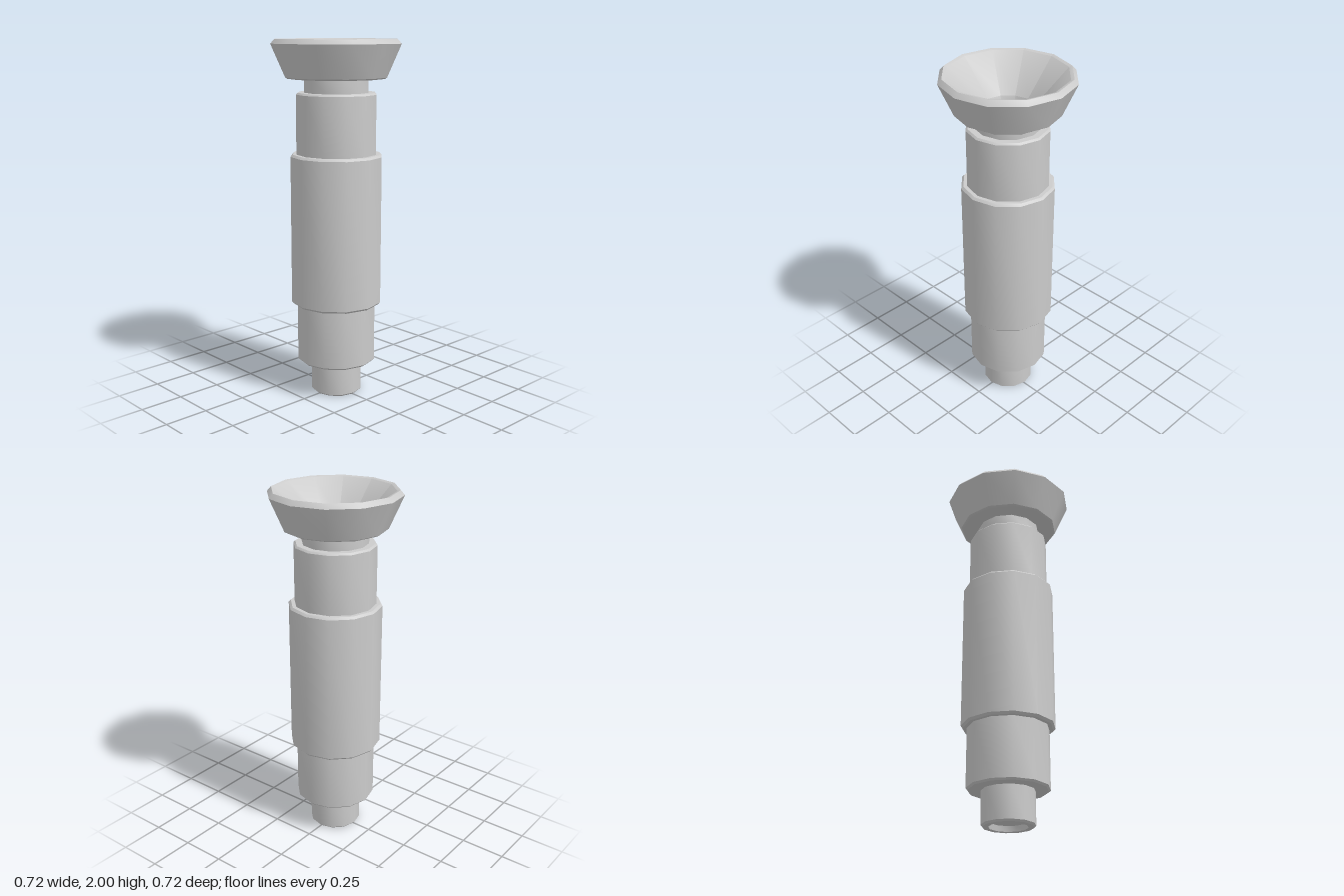
import * as THREE from 'three';
import { toCreasedNormals } from 'three/addons/utils/BufferGeometryUtils.js';

const SIDES = 12;

export function createModel() {
  const model = new THREE.Group();
  const material = new THREE.MeshStandardMaterial({ color: 0xcccccc });

  // Revolve [radius, height] pairs, listed from the bottom up the outside
  function turned(name, profile) {
    const points = profile.map(([r, y]) => new THREE.Vector2(r, y));
    const geometry = toCreasedNormals(new THREE.LatheGeometry(points, SIDES), 0.6);
    const mesh = new THREE.Mesh(geometry, material);
    mesh.name = name;
    model.add(mesh);
  }

  // A stepped sleeve with bevelled ends; inner radii are where neighbours meet it
  function sleeve(name, radius, y0, y1, innerBottom, innerTop, bevel0, bevel1) {
    const profile = [[innerBottom, y0]];
    if (bevel0) profile.push([radius - bevel0, y0]);
    profile.push([radius, y0 + bevel0], [radius, y1 - bevel1]);
    if (bevel1) profile.push([radius - bevel1, y1]);
    profile.push([innerTop, y1]);
    turned(name, profile);
  }

  // Bottom spigot with a shallow round recess in its end
  turned('bottomSpigot', [
    [0, 0.03], [0.1, 0.03], [0.105, 0], [0.135, 0], [0.145, 0.01], [0.145, 0.19],
  ]);

  // Stepped body
  sleeve('lowerSleeve', 0.225, 0.19, 0.53, 0.145, 0.225, 0.01, 0);
  sleeve('mainBarrel', 0.258, 0.53, 1.38, 0.225, 0.225, 0.012, 0.012);
  sleeve('upperSleeve', 0.225, 1.38, 1.715, 0.225, 0.18, 0, 0.01);
  turned('neck', [[0.18, 1.715], [0.18, 1.79]]);

  // Flared cup: underside, outer cone, bevelled rim, inner cone, floor
  turned('flaredCup', [
    [0.18, 1.79], [0.27, 1.79], [0.282, 1.797], [0.36, 1.975], [0.338, 2],
    [0.32, 1.995], [0.148, 1.81], [0.141, 1.77], [0, 1.77],
  ]);

  return model;
}
